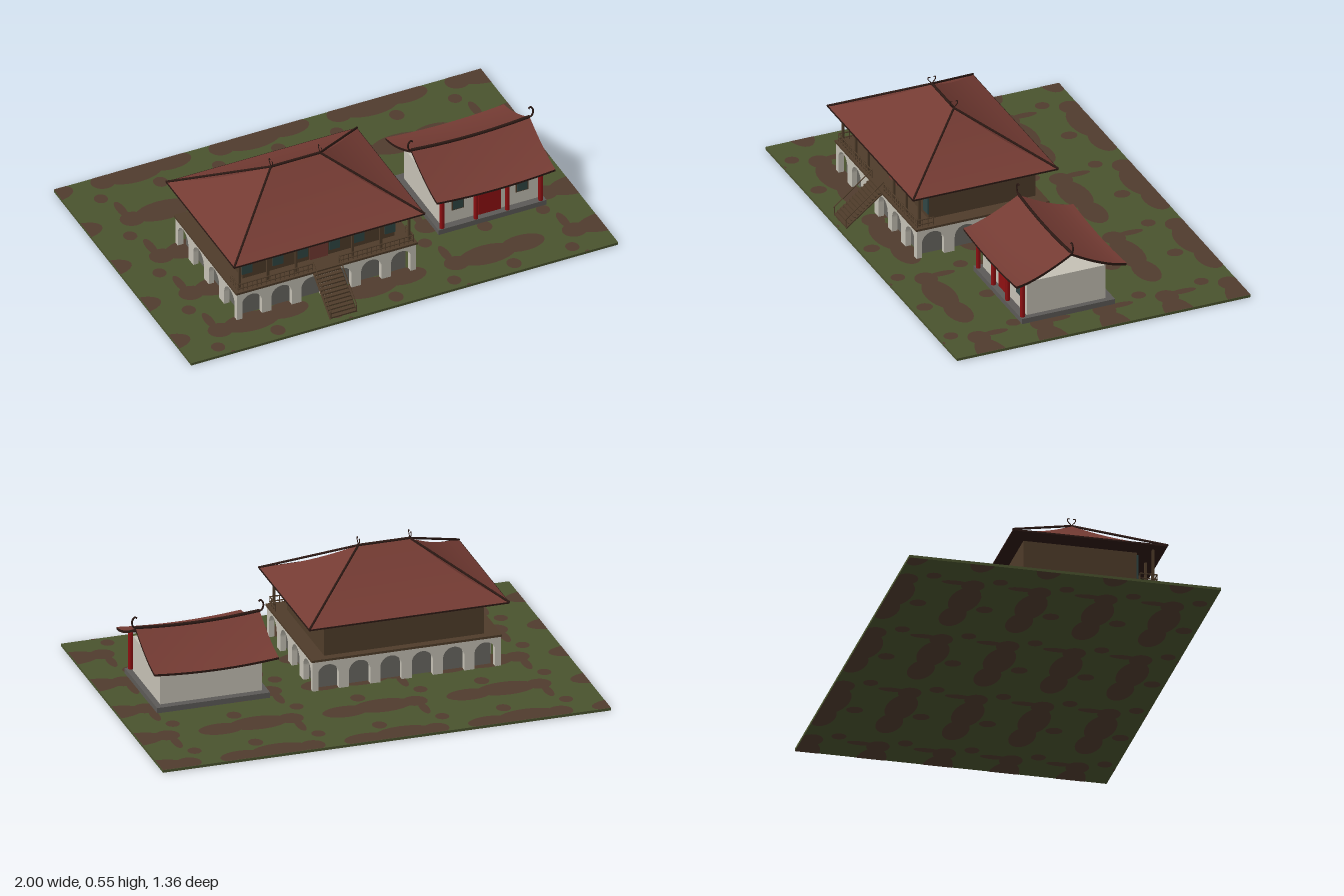
import * as THREE from 'three';

const mat = (name, color, side = THREE.FrontSide) => {
  const m = new THREE.MeshStandardMaterial({ color, side });
  m.name = name;
  return m;
};
const lerp = THREE.MathUtils.lerp;
const V = (x, y, z) => new THREE.Vector3(x, y, z);

export function createModel() {
  const M = {
    grass: mat('grass', 0x4a532e), soil: mat('soil', 0x503c2e),
    tile: mat('roofTile', 0x743b33, THREE.DoubleSide), trim: mat('darkTrim', 0x2c1914, THREE.DoubleSide),
    wood: mat('wood', 0x4f3c2a), plaster: mat('plaster', 0xc4c0b4),
    shade: mat('innerWall', 0x696761), stone: mat('stone', 0x5c5a57),
    red: mat('redPaint', 0x8f1012), glass: mat('glass', 0x304644),
  };
  const root = new THREE.Group();
  root.name = 'courtyardHouses';
  const group = (name) => {
    const g = new THREE.Group();
    g.name = name;
    root.add(g);
    return g;
  };
  const add = (g, name, geo, m) => {
    const mesh = new THREE.Mesh(geo, m);
    mesh.name = name;
    g.add(mesh);
    return mesh;
  };
  const box = (g, name, m, x0, x1, y0, y1, z0, z1) => {
    const b = add(g, name, new THREE.BoxGeometry(x1 - x0, y1 - y0, z1 - z0), m);
    b.position.set((x0 + x1) / 2, (y0 + y1) / 2, (z0 + z1) / 2);
    return b;
  };
  const tube = (g, name, m, pts, r, seg = 16) =>
    add(g, name, new THREE.TubeGeometry(new THREE.CatmullRomCurve3(pts), seg, r, 6), m);
  // straight bar between two points
  const bar = (g, name, m, a, b, r) => {
    const c = add(g, name, new THREE.CylinderGeometry(r, r, a.distanceTo(b), 8), m);
    c.position.copy(a).lerp(b, 0.5);
    c.quaternion.setFromUnitVectors(V(0, 1, 0), b.clone().sub(a).normalize());
    return c;
  };
  // smooth grid from a rule f(u, v) -> point
  const surface = (nu, nv, f) => {
    const geo = new THREE.PlaneGeometry(1, 1, nu, nv);
    const p = geo.attributes.position, uv = geo.attributes.uv;
    for (let i = 0; i < p.count; i++) {
      const q = f(uv.getX(i), uv.getY(i));
      p.setXYZ(i, q.x, q.y, q.z);
    }
    geo.computeVertexNormals();
    return geo;
  };

  // Ground slab with repeating soil patches on top and underneath
  const ground = group('ground');
  box(ground, 'grassSlab', M.grass, -1, 1, 0.001, 0.0125, -0.68, 0.68);
  const patches = [ // x, z, half width, half depth
    [-0.09, -0.35, 0.13, 0.066], [0.08, -0.36, 0.1, 0.056], [-0.235, -0.35, 0.055, 0.05],
    [-0.25, -0.43, 0.02, 0.06], [-0.015, -0.535, 0.032, 0.036], [-0.295, -0.535, 0.03, 0.032],
  ];
  for (let col = -2; col <= 2; col++) for (let row = -2; row <= 4; row++)
    for (const [px, pz, rx, rz] of patches) {
      const cx = px + col * 0.553, cz = pz + row * 0.29;
      if (Math.abs(cx) - rx > 0.99 || Math.abs(cz) - rz > 0.67) continue;
      for (const top of [true, false]) {
        const geo = new THREE.CircleGeometry(1, 20);
        geo.rotateX(top ? -Math.PI / 2 : Math.PI / 2);
        const p = geo.attributes.position;
        for (let i = 0; i < p.count; i++)
          p.setXYZ(i, THREE.MathUtils.clamp(cx + p.getX(i) * rx, -1, 1), top ? 0.0135 : 0,
            THREE.MathUtils.clamp(cz + p.getZ(i) * rz, -0.68, 0.68));
        add(ground, 'soilPatch', geo, M.soil);
      }
    }

  // ---- Large raised house ----
  const house = group('raisedHouse');
  const cx = -0.275, cz = 0.1825;
  box(house, 'undercroftWall', M.shade, -0.66, 0.11, 0.012, 0.145, -0.09, 0.455);

  // Arcade panel of n arches, centred, facing +z
  const arcade = (len, n) => {
    const h = 0.135, bay = len / n, half = bay * 0.34, s = new THREE.Shape();
    s.moveTo(-len / 2, 0);
    for (let i = 0; i < n; i++) {
      const c = -len / 2 + bay * (i + 0.5);
      s.lineTo(c - half, 0);
      s.lineTo(c - half, 0.118 - half);
      s.absarc(c, 0.118 - half, half, Math.PI, 0, true);
      s.lineTo(c + half, 0);
    }
    s.lineTo(len / 2, 0);
    s.lineTo(len / 2, h);
    s.lineTo(-len / 2, h);
    return new THREE.ExtrudeGeometry(s, { depth: 0.025, bevelEnabled: false, curveSegments: 12 });
  };
  for (const s of [0, 1]) {
    const f = add(house, s ? 'backArcade' : 'frontArcade', arcade(0.84, 6), M.plaster);
    f.position.set(cx, 0.012, s ? -0.122 : 0.462);
    const e = add(house, 'sideArcade', arcade(0.61, 4), M.plaster);
    e.rotation.y = Math.PI / 2;
    e.position.set(s ? -0.694 : 0.119, 0.012, cz);
  }
  box(house, 'floor', M.wood, -0.7, 0.15, 0.147, 0.157, -0.125, 0.492);
  box(house, 'upperWalls', M.wood, -0.63, 0.083, 0.157, 0.315, -0.09, 0.405);
  box(house, 'door', M.tile, cx - 0.042, cx + 0.042, 0.157, 0.295, 0.403, 0.411);
  for (const dx of [-0.335, -0.19, -0.075, 0.075, 0.19, 0.335]) {
    const x = cx + dx;
    box(house, 'window', M.glass, x - 0.024, x + 0.024, 0.18, 0.3, 0.403, 0.41);
  }

  // Veranda posts and railing, open at the stairs
  for (let i = 0; i < 7; i++) {
    const x = lerp(-0.672, 0.122, i / 6);
    if (i !== 3) box(house, 'verandaPost', M.wood, x - 0.005, x + 0.005, 0.157, 0.316, 0.46, 0.47);
  }
  const railing = (a, b) => {
    for (const y of [0.17, 0.192])
      bar(house, 'rail', M.wood, V(a.x, y, a.z), V(b.x, y, b.z), 0.003);
    const n = Math.max(2, Math.round(a.distanceTo(b) / 0.022));
    for (let i = 0; i <= n; i++) {
      const q = a.clone().lerp(b, i / n);
      bar(house, 'baluster', M.wood, V(q.x, 0.155, q.z), V(q.x, 0.192, q.z), 0.002);
    }
  };
  railing(V(-0.685, 0, 0.48), V(-0.337, 0, 0.48));
  railing(V(-0.213, 0, 0.48), V(0.135, 0, 0.48));
  for (const x of [-0.685, 0.135]) railing(V(x, 0, 0.48), V(x, 0, 0.405));

  // Front stairs with stringers and handrails
  for (let i = 0; i < 12; i++) {
    const t = (i + 0.5) / 12, y = lerp(0.152, 0.018, t), z = lerp(0.49, 0.655, t);
    box(house, 'stairTread', M.wood, -0.335, -0.215, y - 0.004, y + 0.003, z - 0.009, z + 0.009);
  }
  for (const x of [-0.335, -0.215]) {
    bar(house, 'stairStringer', M.wood, V(x, 0.145, 0.49), V(x, 0.017, 0.655), 0.005);
    bar(house, 'stairHandrail', M.wood, V(x, 0.2, 0.48), V(x, 0.055, 0.66), 0.0025);
    bar(house, 'stairPost', M.wood, V(x, 0.017, 0.655), V(x, 0.06, 0.655), 0.0025);
  }

  // Hipped roof: four slightly hollow slopes running from eave to ridge
  const ex = 0.447, ez = 0.337, rx = 0.115, y0 = 0.318, y1 = 0.52;
  const ry = (t) => lerp(y0, y1, t) - 0.065 * t * (1 - t);
  for (const s of [1, -1]) {
    add(house, 'longRoofSlope', surface(1, 10, (u, t) =>
      V(cx + s * (2 * u - 1) * lerp(ex, rx, t), ry(t), cz - 0.003 + s * lerp(ez, 0, t))), M.tile);
    add(house, 'hipRoofSlope', surface(1, 10, (u, t) =>
      V(cx + s * lerp(ex, rx, t), ry(t), cz - 0.003 - s * (2 * u - 1) * lerp(ez, 0, t))), M.tile);
    for (const k of [1, -1]) {
      bar(house, 'hipBeam', M.trim, V(cx + s * ex, y0, cz - 0.003 + k * ez), V(cx + s * rx, y1, cz - 0.003), 0.005);
      // curled horn finials at the ridge ends
      tube(house, 'ridgeHorn', M.trim, [[-0.006, 0.515], [0.006, 0.528], [0.017, 0.542], [0.016, 0.553], [0.008, 0.551]]
        .map(([z, y]) => V(cx + s * rx, y, cz - 0.003 + k * z)), 0.002);
    }
  }
  box(house, 'eaveBoard', M.trim, cx - ex, cx + ex, 0.312, 0.319, cz - 0.003 - ez, cz - 0.003 + ez);
  bar(house, 'ridgeBeam', M.trim, V(cx - rx, y1, cz - 0.003), V(cx + rx, y1, cz - 0.003), 0.006);

  // ---- Small hall ----
  const hall = group('smallHall');
  const hx = 0.5875, hz = 0.09;
  box(hall, 'platform', M.stone, 0.335, 0.84, 0.012, 0.037, -0.123, 0.308);
  box(hall, 'walls', M.plaster, 0.36, 0.815, 0.037, 0.197, -0.09, 0.275);
  box(hall, 'doors', M.red, 0.535, 0.64, 0.037, 0.16, 0.273, 0.281);
  for (const x of [0.44, 0.74]) {
    box(hall, 'windowFrame', M.wood, x - 0.029, x + 0.029, 0.097, 0.16, 0.273, 0.278);
    box(hall, 'window', M.glass, x - 0.024, x + 0.024, 0.102, 0.155, 0.274, 0.281);
  }
  for (const x of [0.356, 0.515, 0.662, 0.818])
    bar(hall, 'column', M.red, V(x, 0.037, 0.296), V(x, 0.205, 0.296), 0.0105);

  // Saddle roof: hollow slopes, lifted towards the gable ends
  const hallY = (xn, s) => 0.202 + 0.104 * Math.pow(1 - Math.abs(s), 1.45) + 0.014 * xn * xn;
  const hallPt = (xn, s, drop = 0) => V(hx + xn * 0.277, hallY(xn, s) - drop, hz + s * 0.255);
  for (const k of [1, -1]) {
    const slope = (drop) => surface(16, 12, (u, t) => hallPt(k * (2 * u - 1), k * (1 - t), drop));
    add(hall, 'roofSlope', slope(0), M.tile);
    add(hall, 'roofUnderside', slope(0.01), M.trim);
    add(hall, 'eaveEdge', surface(16, 1, (u, t) => hallPt(k * (2 * u - 1), k, 0.01 * (1 - t))), M.trim);
    add(hall, 'gableEdge', surface(32, 1, (u, t) => hallPt(k, k * (1 - 2 * u), 0.012 * (1 - t))), M.trim);
    // curled ridge end
    tube(hall, 'ridgeCurl', M.trim, [[0.27, 0.319], [0.285, 0.325], [0.293, 0.342], [0.291, 0.36], [0.28, 0.372], [0.272, 0.366]]
      .map(([x, y]) => V(hx + k * x, y, hz)), 0.004, 20);
  }
  tube(hall, 'ridge', M.trim, [-1, -0.5, 0, 0.5, 1].map((x) => hallPt(x, 0, -0.003)), 0.007, 24);

  return root;
}
